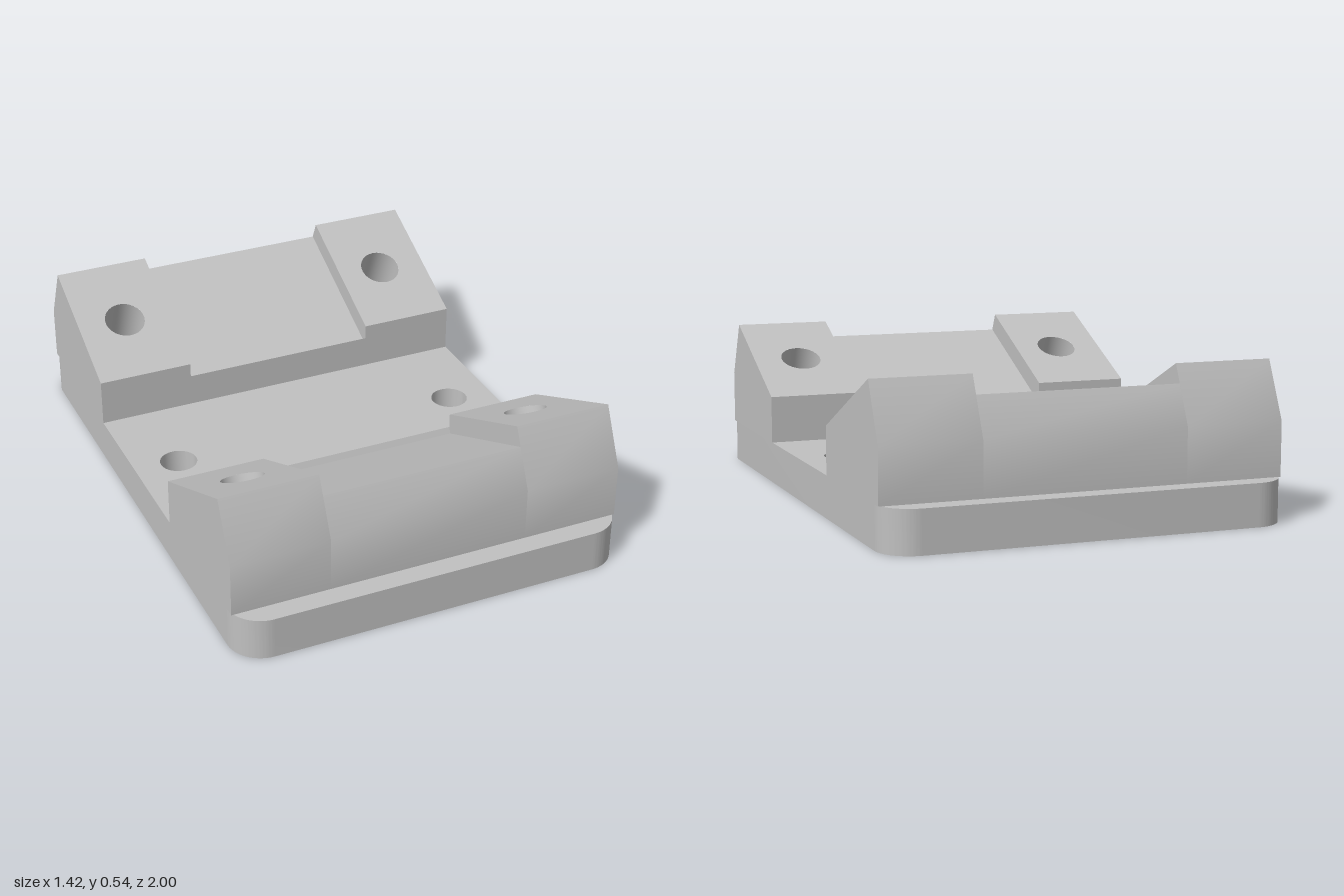
import * as THREE from 'three';
import { toCreasedNormals } from 'three/addons/utils/BufferGeometryUtils.js';

const HALF_W = 0.71, BASE_H = 0.15, RECESS = 0.36;
const HOLE_X = 0.53, HOLE_Z = 0.59, HOLE_R = 0.075, HOLE_DEPTH = 0.26;

// Block profile corners as (z, y)
const INNER_LOW = [0.355, BASE_H], INNER_TOP = [0.355, 0.32];
const PEAK = [0.83, 0.54], OUTER_MID = [0.925, 0.34], OUTER_LOW = [0.925, BASE_H];

// Frame of the sloped face: along = up the slope, normal = out of it
const along = new THREE.Vector3(0, PEAK[1] - INNER_TOP[1], PEAK[0] - INNER_TOP[0]).normalize();
const normal = new THREE.Vector3(0, along.z, -along.y);

function addMesh(parent, name, geometry, material) {
  const mesh = new THREE.Mesh(toCreasedNormals(geometry, 0.6), material);
  mesh.name = name;
  parent.add(mesh);
}

function circleHole(x, y, r) {
  const path = new THREE.Path();
  path.absarc(x, y, r, 0, Math.PI * 2, true);
  return path;
}

// Extrude a (z, y) profile across x0..x1
function acrossX(points, x0, x1) {
  const shape = new THREE.Shape(points.map(p => new THREE.Vector2(...p)));
  const g = new THREE.ExtrudeGeometry(shape, { depth: x1 - x0, bevelEnabled: false });
  return g.rotateY(-Math.PI / 2).translate(x1, 0, 0);
}

// Leave out the triangles that lie on the sloped face
function openSlope(geometry) {
  const pos = geometry.attributes.position, kept = [];
  const t = new THREE.Triangle(), n = new THREE.Vector3();
  for (let i = 0; i < pos.count; i += 3) {
    t.setFromAttributeAndIndices(pos, i, i + 1, i + 2);
    if (t.getNormal(n).dot(normal) > 0.99) continue;
    for (const v of [t.a, t.b, t.c]) kept.push(v.x, v.y, v.z);
  }
  const g = new THREE.BufferGeometry();
  g.setAttribute('position', new THREE.Float32BufferAttribute(kept, 3));
  return g;
}

function basePlate(parent, material) {
  const r = 0.12, w = HALF_W, s = new THREE.Shape();
  s.absarc(w - r, 1 - r, r, 0, Math.PI / 2);
  s.absarc(-w + r, 1 - r, r, Math.PI / 2, Math.PI);
  s.absarc(-w + r, -1 + r, r, Math.PI, Math.PI * 1.5);
  s.absarc(w - r, -1 + r, r, Math.PI * 1.5, Math.PI * 2);
  s.holes.push(circleHole(-0.545, 0, 0.067), circleHole(0.545, 0, 0.067));
  const g = new THREE.ExtrudeGeometry(s, { depth: BASE_H, bevelEnabled: false, curveSegments: 24 });
  addMesh(parent, 'basePlate', g.rotateX(-Math.PI / 2), material);
}

function jawBlock(material) {
  const block = new THREE.Group();

  // Recessed middle with a small lip at the inner edge
  addMesh(block, 'recessedMiddle', acrossX([
    INNER_LOW, [0.355, 0.268], [0.365, 0.246], [0.86, 0.476], OUTER_MID, OUTER_LOW,
  ], -RECESS, RECESS), material);

  for (const side of [-1, 1]) {
    // Raised shoulder, its slope left open for the drilled face
    const [x0, x1] = side > 0 ? [RECESS, HALF_W] : [-HALF_W, -RECESS];
    const solid = acrossX([INNER_LOW, INNER_TOP, PEAK, OUTER_MID, OUTER_LOW], x0, x1);
    addMesh(block, 'shoulder', openSlope(solid), material);

    // Sloped face around the hole
    const xc = side * HOLE_X;
    const t = (HOLE_Z - INNER_TOP[0]) / along.z;
    const centre = new THREE.Vector3(xc, INNER_TOP[1] + t * along.y, HOLE_Z);
    const frame = new THREE.Matrix4()
      .makeBasis(new THREE.Vector3(-1, 0, 0), along, normal).setPosition(centre);
    const low = -t, high = (PEAK[0] - HOLE_Z) / along.z;
    const face = new THREE.Shape([
      new THREE.Vector2(xc - x1, low), new THREE.Vector2(xc - x0, low),
      new THREE.Vector2(xc - x0, high), new THREE.Vector2(xc - x1, high),
    ]);
    face.holes.push(circleHole(0, 0, HOLE_R));
    addMesh(block, 'drilledFace', new THREE.ShapeGeometry(face, 32).applyMatrix4(frame), material);

    // Blind hole with a flat floor, square to the slope
    const bore = new THREE.LatheGeometry([
      new THREE.Vector2(HOLE_R, 0), new THREE.Vector2(HOLE_R, -HOLE_DEPTH), new THREE.Vector2(0, -HOLE_DEPTH),
    ], 32);
    addMesh(block, 'blindHole', bore.rotateX(Math.PI / 2).applyMatrix4(frame), material);
  }
  return block;
}

export function createModel() {
  const model = new THREE.Group();
  model.name = 'clampBlock';
  const grey = new THREE.MeshStandardMaterial({ color: 0xc0c0c0 });
  grey.name = 'light grey';

  basePlate(model, grey);
  const front = jawBlock(grey);
  front.name = 'frontJaw';
  const back = jawBlock(grey);
  back.name = 'backJaw';
  back.rotation.y = Math.PI;
  model.add(front, back);
  return model;
}
